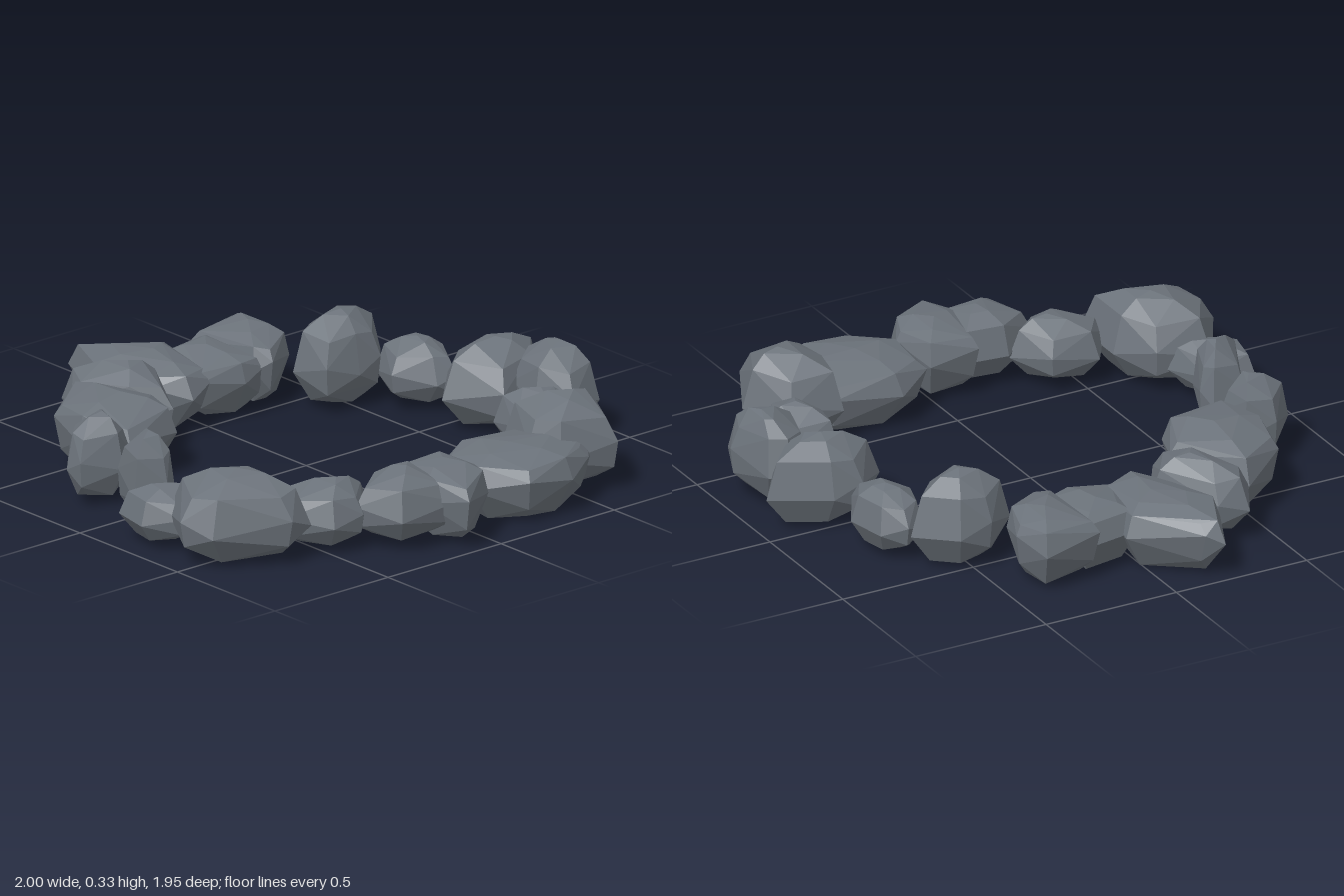
import * as THREE from 'three';
import { ConvexGeometry } from 'three/addons/geometries/ConvexGeometry.js';

// stone kinds: [outline scale, height fraction] of each ring, the rim being the widest
const BOULDER = { foot: 0.62, belly: [0.93, 0.18], rim: 0.42, shoulder: [0.79, 0.78], crown: 0.38 };
const SLAB = { foot: 0.66, belly: [0.88, 0.22], rim: 0.6, shoulder: [0.86, 0.84], crown: 0.5 };

// faceted stone: hull of a ground outline (x, z pairs) with a staggered rim and a peaked crown
function stoneGeometry(kind, y0, y1, peak, outline) {
  const pts = [];
  for (let i = 0; i < outline.length; i += 2) pts.push(new THREE.Vector2(outline[i], outline[i + 1]));
  const centre = new THREE.Vector2();
  pts.forEach((p) => centre.addScaledVector(p, 1 / pts.length));
  const top = new THREE.Vector2(...peak);
  const cloud = [];
  const add = (p, about, scale, t) => {
    const q = about.clone().lerp(p, scale);
    cloud.push(new THREE.Vector3(q.x, y0 + (y1 - y0) * t, q.y));
  };
  pts.forEach((p, i) => {
    const stagger = i % 2 ? 0.07 : -0.07;
    add(p, centre, kind.foot, i % 2 ? 0.05 : 0);
    if (i % 2) add(p, centre, ...kind.belly);
    add(p, centre, 1, kind.rim + stagger);
    add(p, centre, kind.shoulder[0], kind.shoulder[1] - stagger * 0.3);
    if (i % 2 === 0) add(p, top, kind.crown, 0.96);
  });
  add(top, top, 1, 1);
  return new ConvexGeometry(cloud);
}

export function createModel() {
  const group = new THREE.Group();
  group.name = 'stoneRing';
  const slate = new THREE.MeshStandardMaterial({ color: 0x6b727a });
  slate.name = 'slateGrey';
  slate.flatShading = true;

  const stone = (name, kind, y0, y1, peak, ...outline) => {
    const mesh = new THREE.Mesh(stoneGeometry(kind, y0, y1, peak, outline), slate);
    mesh.name = name;
    group.add(mesh);
  };

  // back
  stone('backTallStone', BOULDER, 0.02, 0.31, [0.1, -0.75], 0.06, -0.98, 0.16, -0.9, 0.21, -0.85, 0.25, -0.66, 0.07, -0.54, -0.05, -0.67, -0.05, -0.78);
  stone('backLeftStone', BOULDER, 0.04, 0.33, [0.31, -0.86], 0.17, -0.91, 0.36, -0.95, 0.45, -0.91, 0.48, -0.77, 0.36, -0.7, 0.2, -0.74, 0.13, -0.84);
  stone('backLeftSmallStone', BOULDER, 0.03, 0.25, [0.45, -0.65], 0.31, -0.56, 0.33, -0.71, 0.47, -0.78, 0.6, -0.68, 0.56, -0.6, 0.45, -0.53);
  stone('backLeftCornerStone', BOULDER, 0.03, 0.33, [0.7, -0.58], 0.69, -0.72, 0.87, -0.63, 0.82, -0.42, 0.7, -0.38, 0.51, -0.43, 0.53, -0.62);

  // left side
  stone('leftLongStone', SLAB, 0.0, 0.23, [0.74, -0.26], 0.76, -0.62, 0.87, -0.5, 0.94, -0.37, 0.94, -0.18, 0.8, -0.04, 0.62, -0.05, 0.53, -0.19, 0.55, -0.45);
  stone('leftPointedStone', SLAB, 0.02, 0.26, [0.77, 0.06], 0.63, -0.03, 0.8, -0.07, 0.9, -0.03, 1.0, 0.14, 0.84, 0.2, 0.62, 0.15);
  stone('leftMiddleStone', BOULDER, 0.04, 0.27, [0.77, 0.22], 0.65, 0.1, 0.91, 0.12, 0.89, 0.34, 0.73, 0.41, 0.63, 0.27);
  stone('leftSmallStone', BOULDER, 0.03, 0.24, [0.64, 0.42], 0.65, 0.28, 0.76, 0.4, 0.75, 0.52, 0.62, 0.63, 0.49, 0.54, 0.51, 0.37);

  // front
  stone('frontLargeStone', BOULDER, 0.02, 0.31, [0.5, 0.74], 0.7, 0.58, 0.72, 0.68, 0.6, 0.93, 0.48, 0.97, 0.29, 0.86, 0.33, 0.67, 0.47, 0.58);
  stone('frontLowStone', BOULDER, 0.03, 0.21, [0.26, 0.82], 0.13, 0.94, 0.16, 0.77, 0.33, 0.71, 0.38, 0.87, 0.28, 0.97);
  stone('frontUprightStone', BOULDER, 0.02, 0.32, [0.05, 0.74], -0.06, 0.67, 0, 0.65, 0.14, 0.7, 0.17, 0.76, 0.14, 0.88, -0.05, 0.79);
  stone('frontRightUprightStone', BOULDER, 0.03, 0.31, [-0.21, 0.72], -0.32, 0.64, -0.16, 0.64, -0.1, 0.72, -0.16, 0.86, -0.23, 0.86, -0.33, 0.76);
  stone('frontRightSlab', SLAB, 0.01, 0.27, [-0.4, 0.48], -0.68, 0.46, -0.4, 0.31, -0.22, 0.38, -0.16, 0.64, -0.37, 0.69, -0.54, 0.65);

  // right side
  stone('rightFrontStone', BOULDER, 0.03, 0.28, [-0.59, 0.28], -0.79, 0.4, -0.77, 0.29, -0.56, 0.14, -0.39, 0.25, -0.46, 0.37, -0.67, 0.46);
  stone('rightWideSlab', SLAB, 0.01, 0.24, [-0.7, 0.07], -1, 0.19, -0.97, 0.13, -0.8, -0.08, -0.5, -0.02, -0.45, 0.11, -0.56, 0.2, -0.8, 0.28);
  stone('rightMiddleStone', SLAB, 0.02, 0.23, [-0.64, -0.11], -0.8, -0.24, -0.49, -0.24, -0.46, -0.13, -0.5, 0.04, -0.76, -0.01);
  stone('rightBackStone', SLAB, 0.02, 0.26, [-0.67, -0.32], -0.83, -0.4, -0.69, -0.44, -0.55, -0.4, -0.46, -0.25, -0.5, -0.2, -0.8, -0.18);
  stone('backRightTallStone', BOULDER, 0.02, 0.33, [-0.4, -0.5], -0.43, -0.7, -0.29, -0.58, -0.28, -0.48, -0.3, -0.35, -0.45, -0.33, -0.54, -0.45, -0.54, -0.57);
  stone('backRightStone', BOULDER, 0.03, 0.24, [-0.22, -0.68], -0.18, -0.79, -0.06, -0.72, -0.08, -0.65, -0.2, -0.55, -0.34, -0.6, -0.38, -0.68, -0.33, -0.76);

  return group;
}
